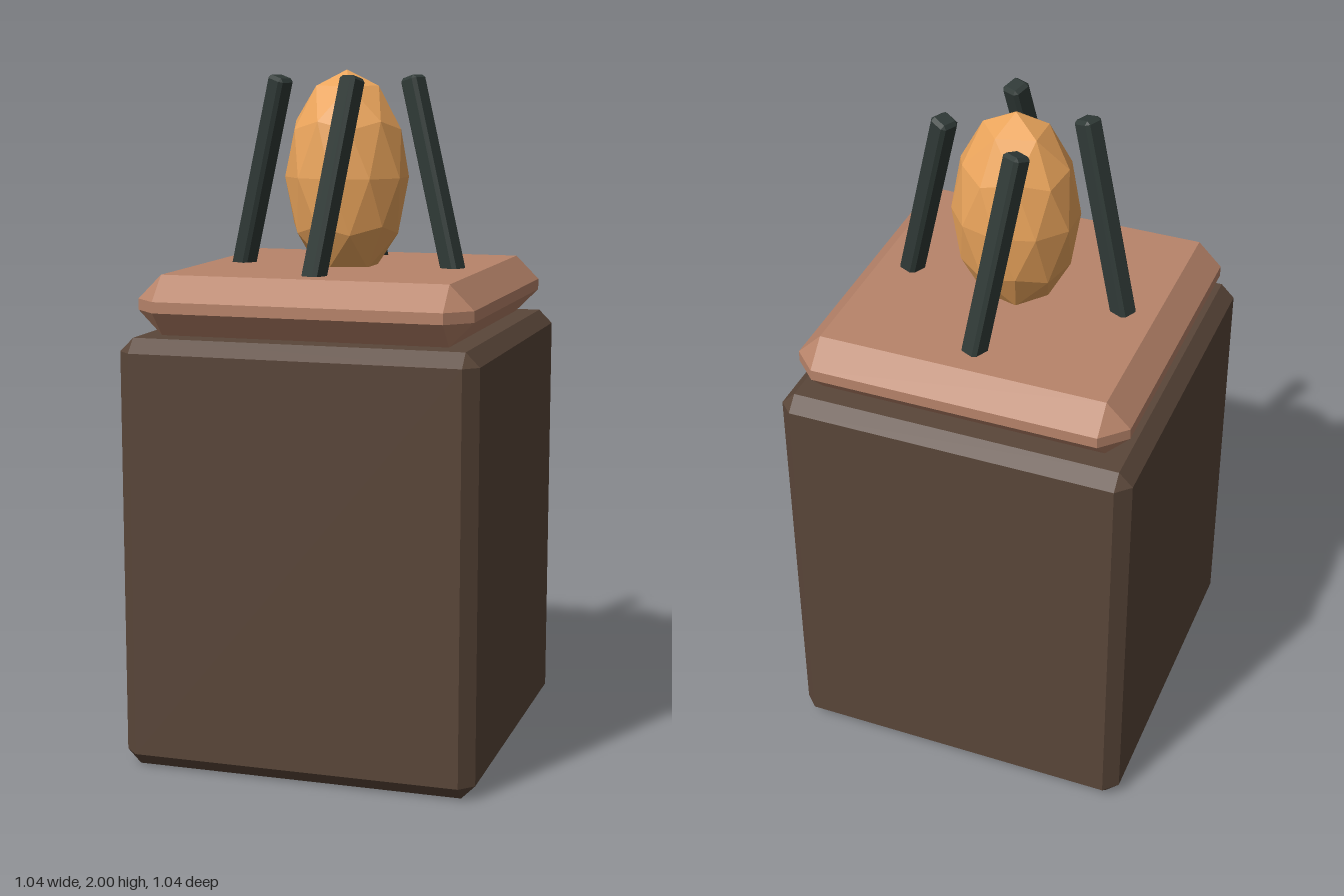
import * as THREE from 'three';
import { ConvexGeometry } from 'three/addons/geometries/ConvexGeometry.js';

// Box with every edge cut at 45 degrees by c
function chamferBox(w, h, d, c) {
  const pts = [];
  for (const sx of [-1, 1]) for (const sy of [-1, 1]) for (const sz of [-1, 1]) {
    const x = w / 2, y = h / 2, z = d / 2;
    pts.push(
      new THREE.Vector3(sx * x, sy * (y - c), sz * (z - c)),
      new THREE.Vector3(sx * (x - c), sy * y, sz * (z - c)),
      new THREE.Vector3(sx * (x - c), sy * (y - c), sz * z)
    );
  }
  return new ConvexGeometry(pts);
}

function part(name, geometry, color) {
  const material = new THREE.MeshStandardMaterial({ color, flatShading: true });
  const mesh = new THREE.Mesh(geometry, material);
  mesh.name = name;
  return mesh;
}

export function createModel() {
  const group = new THREE.Group();
  group.name = 'pedestalLamp';

  // Tall pedestal block
  const pedestal = part('pedestal', chamferBox(1.044, 1.256, 1.044, 0.04), 0x5a4639);
  pedestal.position.y = 0.628;
  group.add(pedestal);

  // Bevelled slab on top
  const slab = part('topSlab', chamferBox(0.98, 0.172, 0.98, 0.07), 0xb8846a);
  slab.position.y = 1.344;
  group.add(slab);

  // Faceted egg: icosphere with one vertex pointing straight up, then stretched
  const eggGeometry = new THREE.IcosahedronGeometry(1, 1);
  eggGeometry.rotateZ(-Math.atan(2 / (1 + Math.sqrt(5))));
  eggGeometry.scale(0.184, 0.31, 0.163);
  eggGeometry.computeVertexNormals();
  const egg = part('egg', eggGeometry, 0xeba55c);
  egg.position.y = 1.69;
  group.add(egg);

  // Four leaning prongs in a pinwheel around the egg
  const foot = new THREE.Vector3(0, 1.405, 0.328);
  const tip = new THREE.Vector3(0.072, 1.98, 0.178);
  const lean = tip.clone().sub(foot);
  const prongGeometry = chamferBox(0.06, lean.length(), 0.06, 0.01);
  for (let i = 0; i < 4; i++) {
    const pivot = new THREE.Group();
    pivot.name = 'prong' + (i + 1);
    pivot.rotation.y = i * Math.PI / 2;
    const prong = part('prongBar', prongGeometry, 0x2f3936);
    prong.position.addVectors(foot, tip).multiplyScalar(0.5);
    prong.rotation.set(-Math.atan2(Math.hypot(lean.x, lean.z), lean.y), -Math.atan2(lean.x, -lean.z), 0, 'YXZ');
    pivot.add(prong);
    group.add(pivot);
  }
  return group;
}
